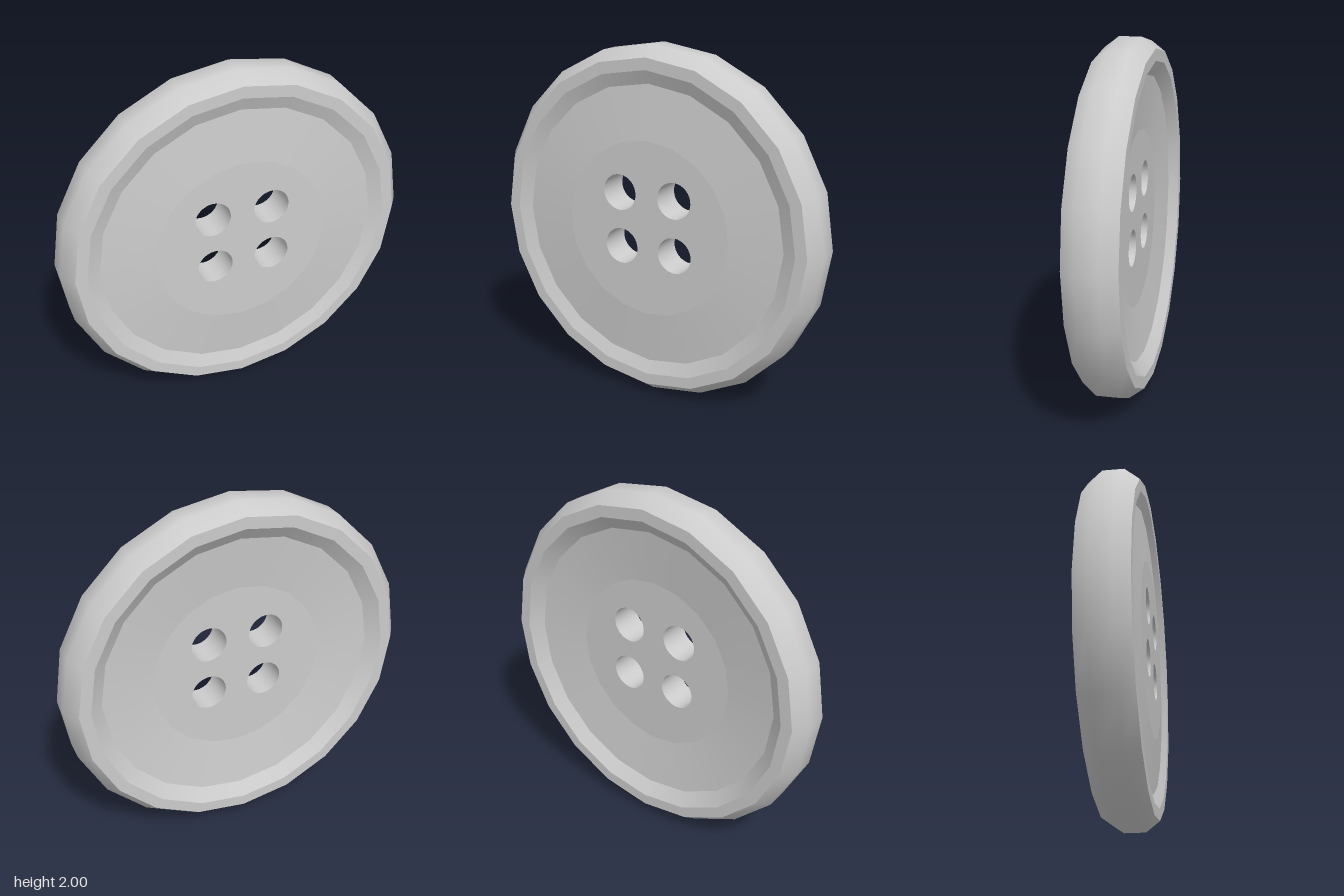
import * as THREE from 'three';

const SIDES = 20;
const FRONT = 0.135, BACK = -0.05; // faces of the centre disc
const HOLE_R = 0.102;
const HOLES = [[-0.17, 0.19], [0.17, 0.19], [-0.16, -0.12], [0.175, -0.12]];

export function createModel() {
  const group = new THREE.Group();
  const mat = new THREE.MeshStandardMaterial({ color: 0xcccccc });
  const thin = new THREE.MeshStandardMaterial({ color: 0xcccccc, side: THREE.DoubleSide });

  const add = (name, geometry, material = mat) => {
    const mesh = new THREE.Mesh(geometry, material);
    mesh.name = name;
    mesh.position.y += 1;
    group.add(mesh);
    return mesh;
  };

  // Ring turned about the z axis from [radius, z] points, ordered back to front
  const ring = (name, points) => {
    const profile = points.map(([r, z]) => new THREE.Vector2(r, z));
    add(name, new THREE.LatheGeometry(profile, SIDES).rotateX(Math.PI / 2));
  };

  // Rounded outer edge, smooth across its bevels
  ring('outerEdge', [[0.94, -0.14], [1, -0.06], [1, 0.06], [0.94, 0.14]]);

  // Front: flat lip, groove wall, gently raised dish
  ring('frontLip', [[0.94, 0.14], [0.875, 0.14]]);
  ring('frontGroove', [[0.875, 0.14], [0.8, 0.11]]);
  ring('frontDish', [[0.8, 0.11], [0.5, FRONT]]);

  // Back: flat lip, wall, hollow dish
  ring('backLip', [[0.875, -0.14], [0.94, -0.14]]);
  ring('backWall', [[0.8, -0.085], [0.875, -0.14]]);
  ring('backDish', [[0.5, BACK], [0.8, -0.085]]);

  // Centre discs pierced by the four thread holes
  const disc = new THREE.Shape();
  for (let i = 0; i < SIDES; i++) {
    const a = (i / SIDES) * Math.PI * 2;
    const x = 0.5 * Math.cos(a), y = 0.5 * Math.sin(a);
    if (i === 0) disc.moveTo(x, y);
    else disc.lineTo(x, y);
  }
  disc.closePath();
  for (const [x, y] of HOLES) {
    disc.holes.push(new THREE.Path().absarc(x, y, HOLE_R, 0, Math.PI * 2, true));
  }
  add('frontCentre', new THREE.ShapeGeometry(disc, 16)).position.z = FRONT;
  const backMat = thin.clone();
  add('backCentre', new THREE.ShapeGeometry(disc, 16), backMat).position.z = BACK;

  // Hole walls
  for (const [x, y] of HOLES) {
    const wall = new THREE.CylinderGeometry(HOLE_R, HOLE_R, FRONT - BACK, 32, 1, true);
    wall.rotateX(Math.PI / 2).translate(x, y, (FRONT + BACK) / 2);
    add('threadHole', wall, thin);
  }
  return group;
}
